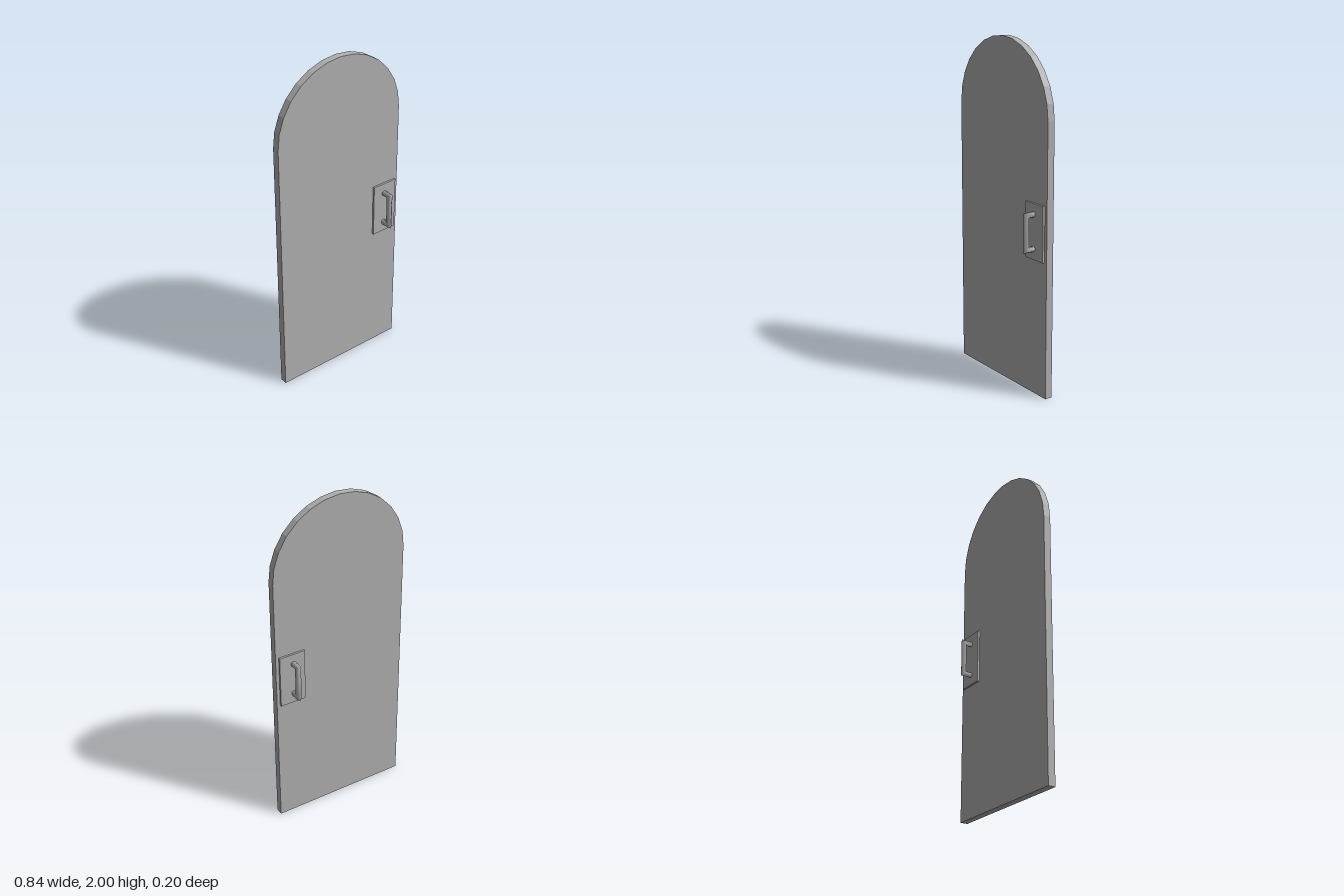
import * as THREE from 'three';

const HALF_W = 0.42, SPRING = 1.58, HALF_T = 0.022;

// Arched slab: straight sides with a 14-sided half-round top
function doorGeometry() {
  const pts = [new THREE.Vector2(-HALF_W, 0), new THREE.Vector2(HALF_W, 0)];
  for (let i = 0; i <= 14; i++) {
    const a = (i / 14) * Math.PI;
    pts.push(new THREE.Vector2(HALF_W * Math.cos(a), SPRING + HALF_W * Math.sin(a)));
  }
  const g = new THREE.ExtrudeGeometry(new THREE.Shape(pts), { depth: HALF_T * 2, bevelEnabled: false });
  g.translate(0, 0, -HALF_T);
  return g;
}

// Pull handle: six-sided bar swept along a mitred U
function handleGeometry() {
  const sides = 6, r = 0.0165, h = 0.0985, reach = 0.0835, root = 0.02;
  const pos = [], index = [];
  for (let i = 0; i < 4; i++) {
    for (let j = 0; j < sides; j++) {
      const a = (j / sides) * Math.PI * 2;
      const out = r * Math.cos(a);
      const y = (i < 2 ? 1 : -1) * (h + out);
      const z = i === 0 || i === 3 ? root : reach + out;
      pos.push(r * Math.sin(a), y, z);
    }
  }
  for (let i = 0; i < 3; i++) {
    for (let j = 0; j < sides; j++) {
      const k = (j + 1) % sides;
      const a = i * sides + j, b = a + sides, c = i * sides + k, d = c + sides;
      index.push(a, b, c, c, b, d);
    }
  }
  const g = new THREE.BufferGeometry();
  g.setAttribute('position', new THREE.Float32BufferAttribute(pos, 3));
  g.setIndex(index);
  g.computeVertexNormals();
  return g;
}

export function createModel() {
  const group = new THREE.Group();
  group.name = 'archedDoor';
  const grey = new THREE.MeshStandardMaterial({ color: 0xb0b0b0 });
  grey.name = 'grey';

  const add = (name, geometry, x, y, z) => {
    const m = new THREE.Mesh(geometry, grey);
    m.name = name;
    m.position.set(x, y, z);
    group.add(m);
    return m;
  };

  add('doorSlab', doorGeometry(), 0, 0, 0);

  // Backplate and pull handle on each face
  const plate = new THREE.BoxGeometry(0.16, 0.32, 0.014);
  const handle = handleGeometry();
  for (const [side, s] of [['front', 1], ['back', -1]]) {
    add(side + 'Plate', plate, 0.32, 0.957, s * 0.027);
    add(side + 'Handle', handle, 0.3145, 0.957, 0).rotation.y = s > 0 ? 0 : Math.PI;
  }
  return group;
}
